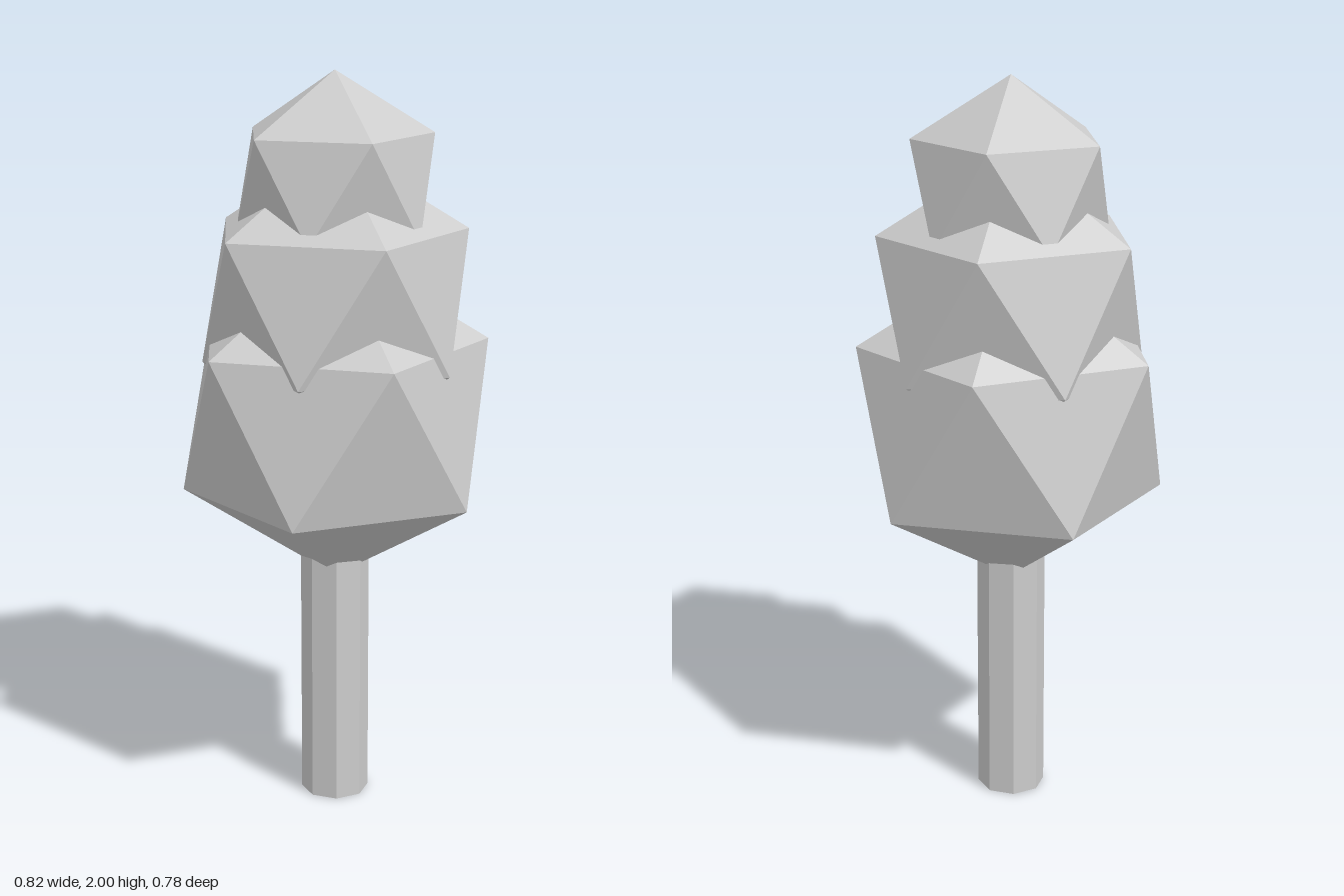
import * as THREE from 'three';

export function createModel() {
  const tree = new THREE.Group();
  tree.name = 'tree';

  const paleGrey = new THREE.MeshStandardMaterial({ color: 0xcccccc, flatShading: true });
  paleGrey.name = 'paleGrey';

  // Eight-sided trunk, its top buried in the lowest crown
  const trunk = new THREE.Mesh(new THREE.CylinderGeometry(0.093, 0.093, 0.8, 8), paleGrey);
  trunk.name = 'trunk';
  trunk.position.y = 0.4;
  tree.add(trunk);

  // Three stacked icosahedra, each tipped so one corner points straight up
  const tilt = -Math.atan(2 / (1 + Math.sqrt(5)));
  const crowns = [
    ['lowerFoliage', 0.458, 1.09],
    ['middleFoliage', 0.394, 1.414],
    ['upperFoliage', 0.29, 1.71],
  ];
  for (const [name, radius, y] of crowns) {
    const crown = new THREE.Mesh(new THREE.IcosahedronGeometry(radius, 0).rotateZ(tilt), paleGrey);
    crown.name = name;
    crown.position.y = y;
    tree.add(crown);
  }

  return tree;
}
